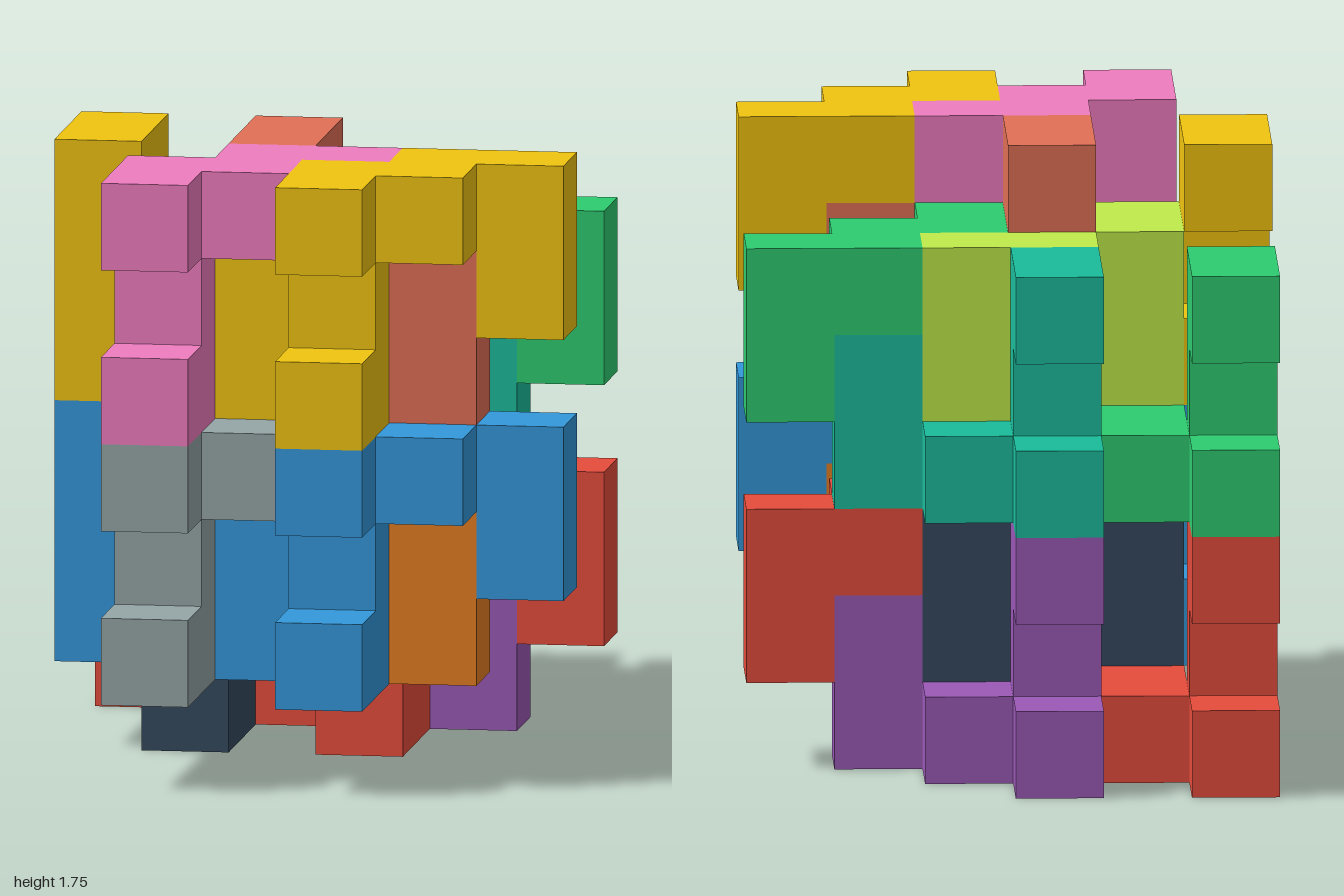
import * as THREE from 'three';
import { mergeGeometries } from 'three/addons/utils/BufferGeometryUtils.js';

const U = 0.25; // edge of one cube cell

// One puzzle piece: a zigzag of five cells, a hook at one end, a tab at the other
const CELLS = [
  [0, 0, 0], [0, 0, 1], [1, 0, 1], [1, 0, 2], [2, 0, 2], // zigzag
  [0, 1, 1], [0, 2, 1], [0, 2, 0],                       // hook
  [2, 1, 2],                                             // tab
];

const SIDES = [[1, 0, 0], [-1, 0, 0], [0, 1, 0], [0, -1, 0], [0, 0, 1], [0, 0, -1]];

// Outer shell of the piece: a square for every cell side without a neighbour
function pieceGeometry() {
  const filled = new Set(CELLS.map(String));
  const faces = [];
  for (const cell of CELLS) {
    for (const side of SIDES) {
      if (filled.has(String(cell.map((c, a) => c + side[a])))) continue;
      const n = new THREE.Vector3(...side);
      const turn = new THREE.Quaternion().setFromUnitVectors(new THREE.Vector3(0, 0, 1), n);
      const centre = new THREE.Vector3(...cell).addScaledVector(n, 0.5).multiplyScalar(U);
      faces.push(new THREE.PlaneGeometry(U, U).applyQuaternion(turn).translate(...centre));
    }
  }
  return mergeGeometries(faces);
}

// Eight pieces per tier: first cell, whether it is turned over, colour in lower and upper tier
const PIECES = [
  { name: 'backRightPiece', at: [0, 0, 0], flip: false, colors: [0xe74c3c, 0x2ecc71] },
  { name: 'backLeftPiece', at: [2, 0, 0], flip: false, colors: [0x9b59b6, 0x1abc9c] },
  { name: 'middleRightPiece', at: [0, 1, 3], flip: false, colors: [0x3498db, 0xf1c40f] },
  { name: 'middleLeftPiece', at: [2, 1, 3], flip: false, colors: [0xe67e22, 0xe17055] },
  { name: 'turnedMiddleRightPiece', at: [1, 2, 4], flip: true, colors: [0x34495e, 0xbfeb4a] },
  { name: 'turnedMiddleLeftPiece', at: [3, 2, 4], flip: true, colors: [0xe74c3c, 0x2ecc71] },
  { name: 'turnedFrontRightPiece', at: [1, 3, 7], flip: true, colors: [0x95a5a6, 0xf07cc0] },
  { name: 'turnedFrontLeftPiece', at: [3, 3, 7], flip: true, colors: [0x3498db, 0xf1c40f] },
];

export function createModel() {
  const model = new THREE.Group();
  model.name = 'interlockingPuzzle';
  const geometry = pieceGeometry();

  // Two identical tiers, the upper one three cells higher
  ['lowerTier', 'upperTier'].forEach((tierName, t) => {
    const tier = new THREE.Group();
    tier.name = tierName;
    tier.position.y = t * 3 * U;
    for (const { name, at, flip, colors } of PIECES) {
      const piece = new THREE.Mesh(geometry, new THREE.MeshStandardMaterial({ color: colors[t] }));
      piece.name = name;
      piece.position.set((at[0] - 2.5) * U, (at[1] + 0.5) * U, (at[2] - 3.5) * U);
      if (flip) piece.rotation.x = Math.PI;
      tier.add(piece);
    }
    model.add(tier);
  });
  return model;
}
